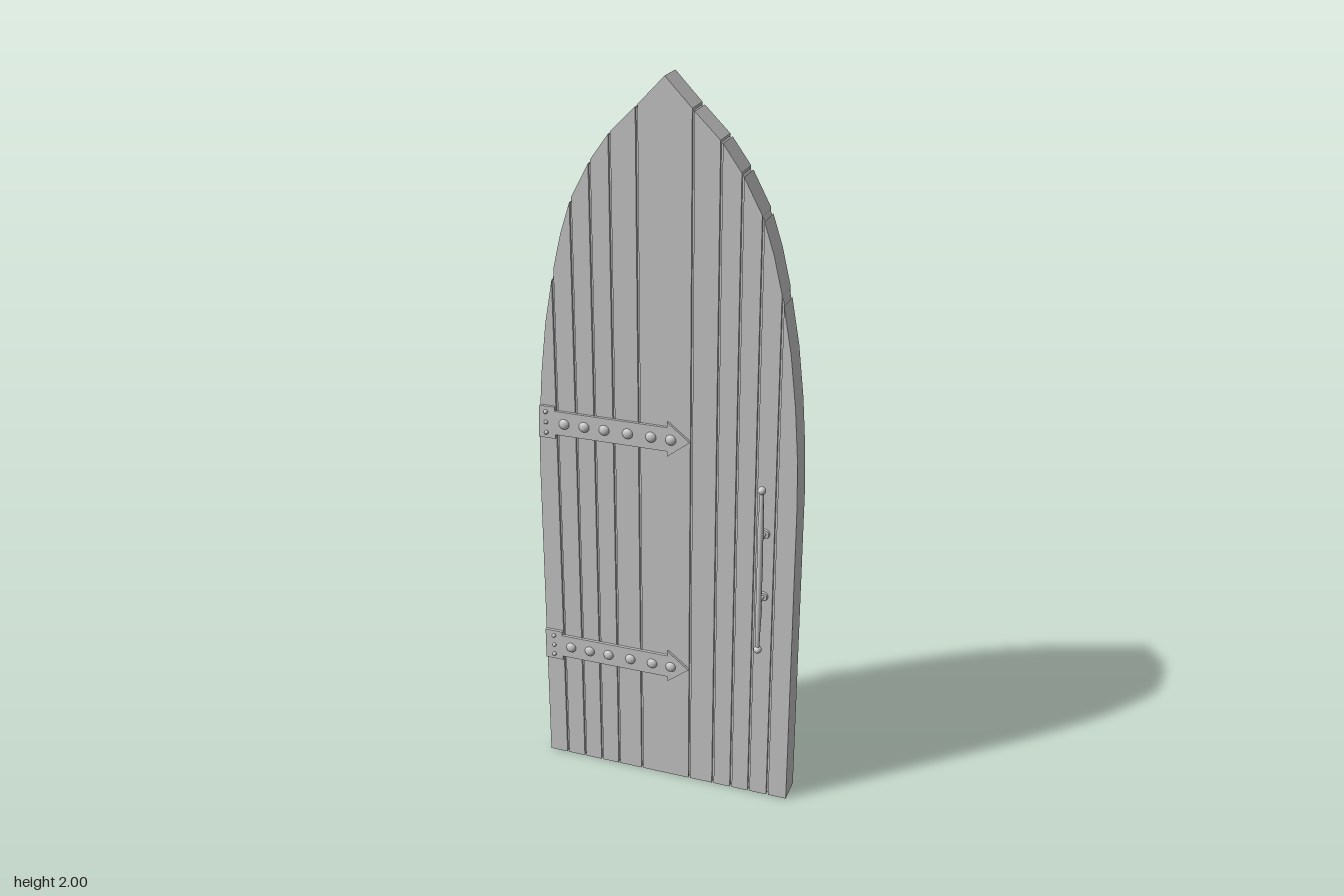
import * as THREE from 'three';

const material = new THREE.MeshStandardMaterial({ color: 0xcccccc });
const HALF = 0.038; // half the door thickness

// Half outline of the pointed arch, from the spring line to the tip
const ARCH = [[0.36, 0.93], [0.356, 1.06], [0.346, 1.2], [0.33, 1.34], [0.305, 1.48], [0.279, 1.59],
  [0.25, 1.68], [0.197, 1.78], [0.143, 1.855], [0.072, 1.925], [0, 2]];
const SEAMS = [-0.36, -0.305, -0.25, -0.197, -0.143, -0.072, 0.072, 0.143, 0.197, 0.25, 0.305, 0.36];

function archHeight(x) {
  const a = Math.abs(x);
  for (let i = 0; i < ARCH.length - 1; i++) {
    const [x0, y0] = ARCH[i], [x1, y1] = ARCH[i + 1];
    if (a >= x1) return y0 + (y1 - y0) * (x0 - a) / (x0 - x1);
  }
  return 2;
}

function add(parent, name, geometry, x = 0, y = 0, z = 0) {
  const mesh = new THREE.Mesh(geometry, material);
  mesh.name = name;
  mesh.position.set(x, y, z);
  parent.add(mesh);
  return mesh;
}

function slab(points, depth) {
  const shape = new THREE.Shape(points.map(([x, y]) => new THREE.Vector2(x, y)));
  return new THREE.ExtrudeGeometry(shape, { depth, bevelEnabled: false });
}

// Vertical board between two x positions, cut along the arch
function board(x0, x1, depth, drop = 0) {
  const inner = [...ARCH.map(p => p[0]), ...ARCH.map(p => -p[0])]
    .filter(x => x > x0 + 0.001 && x < x1 - 0.001);
  const xs = [...new Set([x0, x1, ...inner])].sort((a, b) => b - a);
  const top = xs.map(x => [x, archHeight(x) - drop]);
  return slab([[x0, drop], [x1, drop], ...top], depth);
}

function dome(radius, height) {
  const geometry = new THREE.SphereGeometry(radius, 16, 6, 0, Math.PI * 2, 0, Math.PI / 2);
  geometry.scale(1, height / radius, 1);
  return geometry.rotateX(Math.PI / 2);
}

// Arrow-headed strap with a wide end plate and domed rivets
function makeStrap(y, rivets) {
  const strap = new THREE.Group();
  const edge = dy => archHeightEdge(y + dy);
  add(strap, 'strapPlate', slab([[-edge(-0.046), -0.046], [-0.309, -0.046], [-0.309, -0.034],
    [0.008, -0.034], [0.008, -0.049], [0.07, 0], [0.008, 0.049], [0.008, 0.034],
    [-0.309, 0.034], [-0.309, 0.046], [-edge(0.046), 0.046]], 0.008));
  for (const x of rivets) add(strap, 'strapRivet', dome(0.015, 0.01), x, 0, 0.007);
  for (const dy of [-0.03, 0, 0.03]) add(strap, 'plateRivet', dome(0.006, 0.01), -0.334, dy, 0.007);
  strap.position.y = y;
  return strap;
}

// Half width of the door at a given height
function archHeightEdge(y) {
  for (let i = 0; i < ARCH.length - 1; i++) {
    const [x0, y0] = ARCH[i], [x1, y1] = ARCH[i + 1];
    if (y <= y1) return y <= y0 ? x0 : x0 + (x1 - x0) * (y - y0) / (y1 - y0);
  }
  return 0;
}

export function createModel() {
  const door = new THREE.Group();
  door.name = 'archedDoor';

  // Planks with narrow open seams over a recessed core
  for (let i = 0; i < SEAMS.length - 1; i++) {
    const x0 = SEAMS[i] + (i > 0 ? 0.003 : 0);
    const x1 = SEAMS[i + 1] - (i < SEAMS.length - 2 ? 0.003 : 0);
    add(door, 'plank', board(x0, x1, HALF * 2), 0, 0, -HALF);
  }
  add(door, 'core', board(-0.34, 0.34, 0.062, 0.006), 0, 0, -0.031);

  // Straps on both faces
  const rivets = [-0.282, -0.225, -0.168, -0.102, -0.037];
  for (const y of [0.37, 1.065]) {
    const front = makeStrap(y, [...rivets, 0.018]);
    front.name = 'frontStrap';
    front.position.z = HALF;
    door.add(front);

    const back = makeStrap(y, rivets);
    back.name = 'backStrap';
    back.position.z = -HALF;
    // Mirror to the back face
    back.scale.z = -1;
    door.add(back);
  }

  // Pull handle on the front: turned bar with ball ends on two posts
  const handle = new THREE.Group();
  handle.name = 'pullHandle';
  const profile = [[0, -0.24], [0.005, -0.24], [0.006, -0.19], [0.009, -0.11], [0.007, -0.09], [0.008, 0],
    [0.007, 0.09], [0.009, 0.11], [0.006, 0.19], [0.005, 0.24], [0, 0.24]];
  add(handle, 'handleBar', new THREE.LatheGeometry(profile.map(p => new THREE.Vector2(...p)), 16), 0, 0, 0.077);
  for (const side of [-1, 1]) {
    add(handle, 'handleBall', new THREE.SphereGeometry(0.011, 16, 12), 0, side * 0.238, 0.077);
    const y = side * 0.094;
    add(handle, 'handlePost', new THREE.CylinderGeometry(0.005, 0.005, 0.042, 12).rotateX(Math.PI / 2), 0, y, 0.057);
    add(handle, 'postRosette', new THREE.CylinderGeometry(0.012, 0.015, 0.006, 20).rotateX(Math.PI / 2), 0, y, 0.04);
  }
  handle.position.set(0.276, 0.738, 0);
  door.add(handle);

  // Ring pull on the back, hanging from a staple
  add(door, 'pullRing', new THREE.TorusGeometry(0.051, 0.0105, 14, 40), 0.235, 0.77, -0.053);
  add(door, 'ringStaple', new THREE.TorusGeometry(0.027, 0.006, 12, 28).rotateY(Math.PI / 2), 0.235, 0.826, -0.057);

  return door;
}
